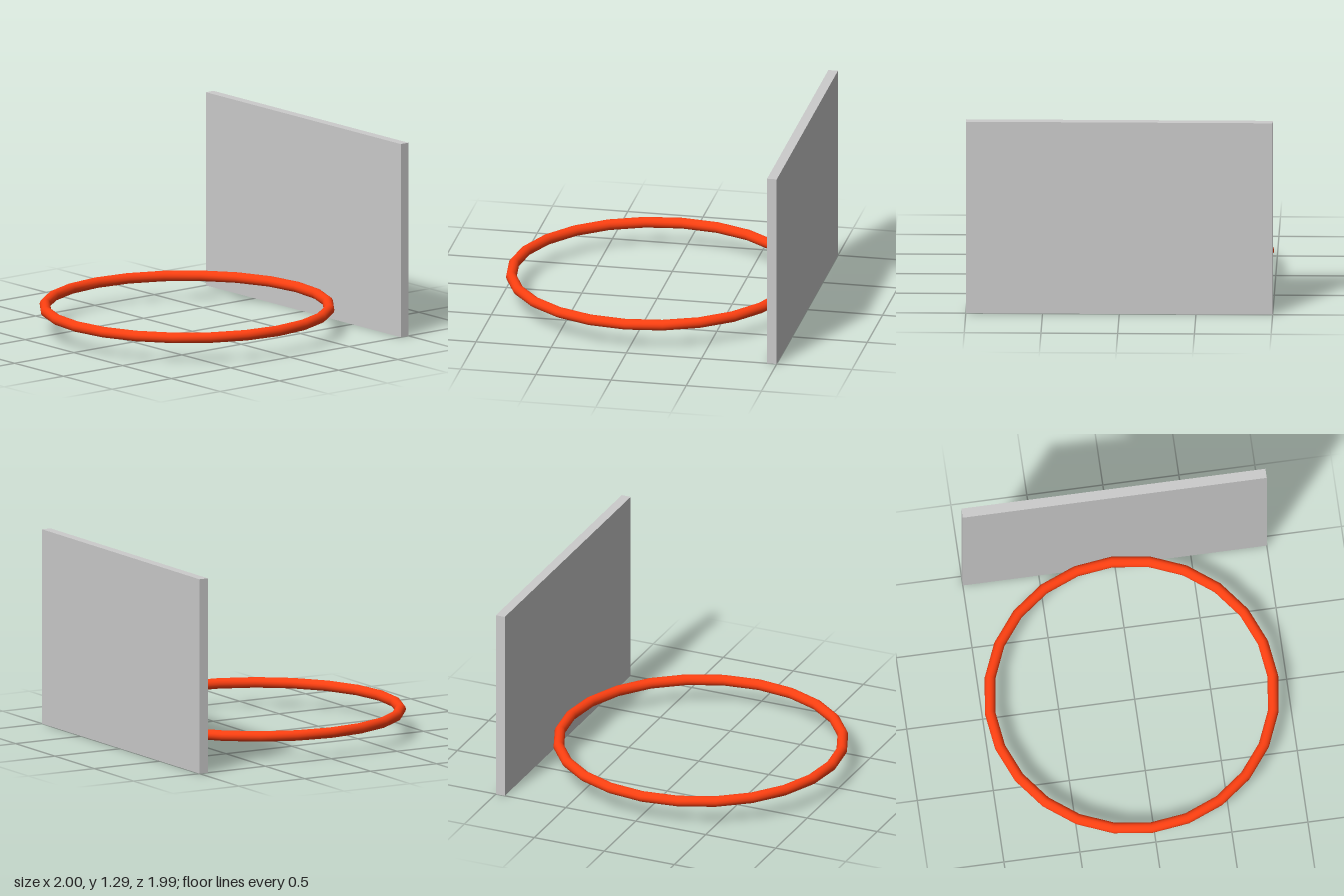
import * as THREE from 'three';

export function createModel() {
  const model = new THREE.Group();

  // Upright backboard, standing on the ground at the rear
  const boardHeight = 1.29, boardDepth = 0.064;
  const backboard = new THREE.Mesh(
    new THREE.BoxGeometry(2, boardHeight, boardDepth),
    new THREE.MeshStandardMaterial({ color: 0xcccccc })
  );
  backboard.name = 'backboard';
  backboard.position.set(0, boardHeight / 2, -1 + boardDepth / 2);
  model.add(backboard);

  // Horizontal hoop touching the front of the board, slightly off centre
  const rim = new THREE.Mesh(
    new THREE.TorusGeometry(0.93, 0.035, 16, 24).rotateX(-Math.PI / 2),
    new THREE.MeshStandardMaterial({ color: 0xff4011 })
  );
  rim.name = 'rim';
  rim.position.set(-0.024, 0.163, 0.026);
  model.add(rim);

  return model;
}
